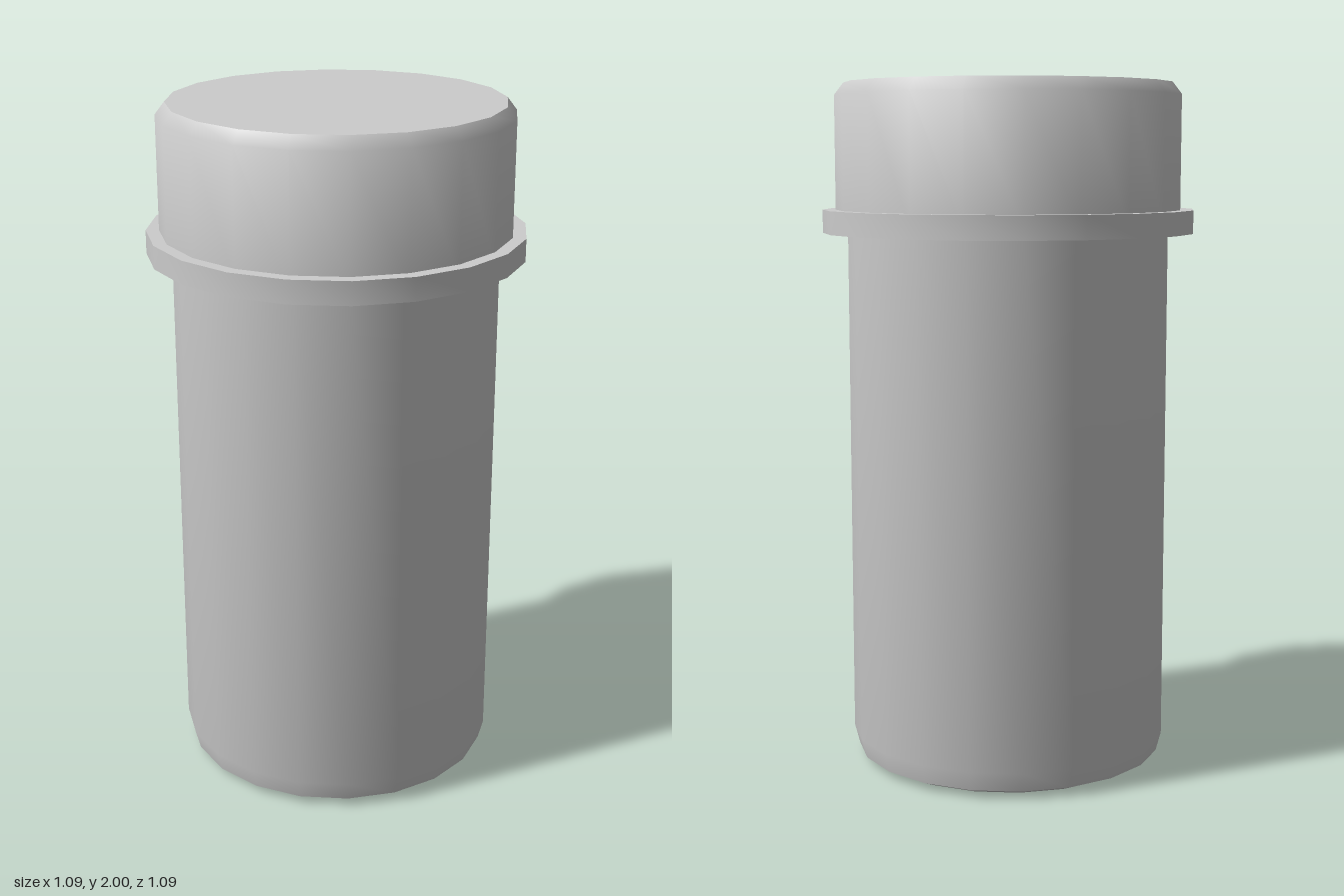
import * as THREE from 'three';
import { toCreasedNormals } from 'three/addons/utils/BufferGeometryUtils.js';

const SIDES = 20;
const CREASE = THREE.MathUtils.degToRad(45);

// Turned part from a bottom-to-top list of [radius, height]
function turned(name, profile, material) {
  const points = profile.map(([r, y]) => new THREE.Vector2(r, y));
  const geometry = toCreasedNormals(new THREE.LatheGeometry(points, SIDES), CREASE);
  const mesh = new THREE.Mesh(geometry, material);
  mesh.name = name;
  return mesh;
}

export function createModel() {
  const group = new THREE.Group();
  group.name = 'container';
  const material = new THREE.MeshStandardMaterial({ color: 0xcccccc });

  // Main cylinder with a rounded foot
  group.add(turned('body', [
    [0, 0], [0.41, 0.003], [0.455, 0.023], [0.47, 0.08], [0.47, 1.6], [0, 1.6],
  ], material));

  // Thin collar between body and cap
  group.add(turned('collar', [
    [0, 1.57], [0.543, 1.57], [0.543, 1.637], [0, 1.637],
  ], material));

  // Cap with a bevelled top edge
  group.add(turned('cap', [
    [0, 1.6], [0.505, 1.6], [0.505, 1.965], [0.478, 2], [0, 2],
  ], material));

  return group;
}
